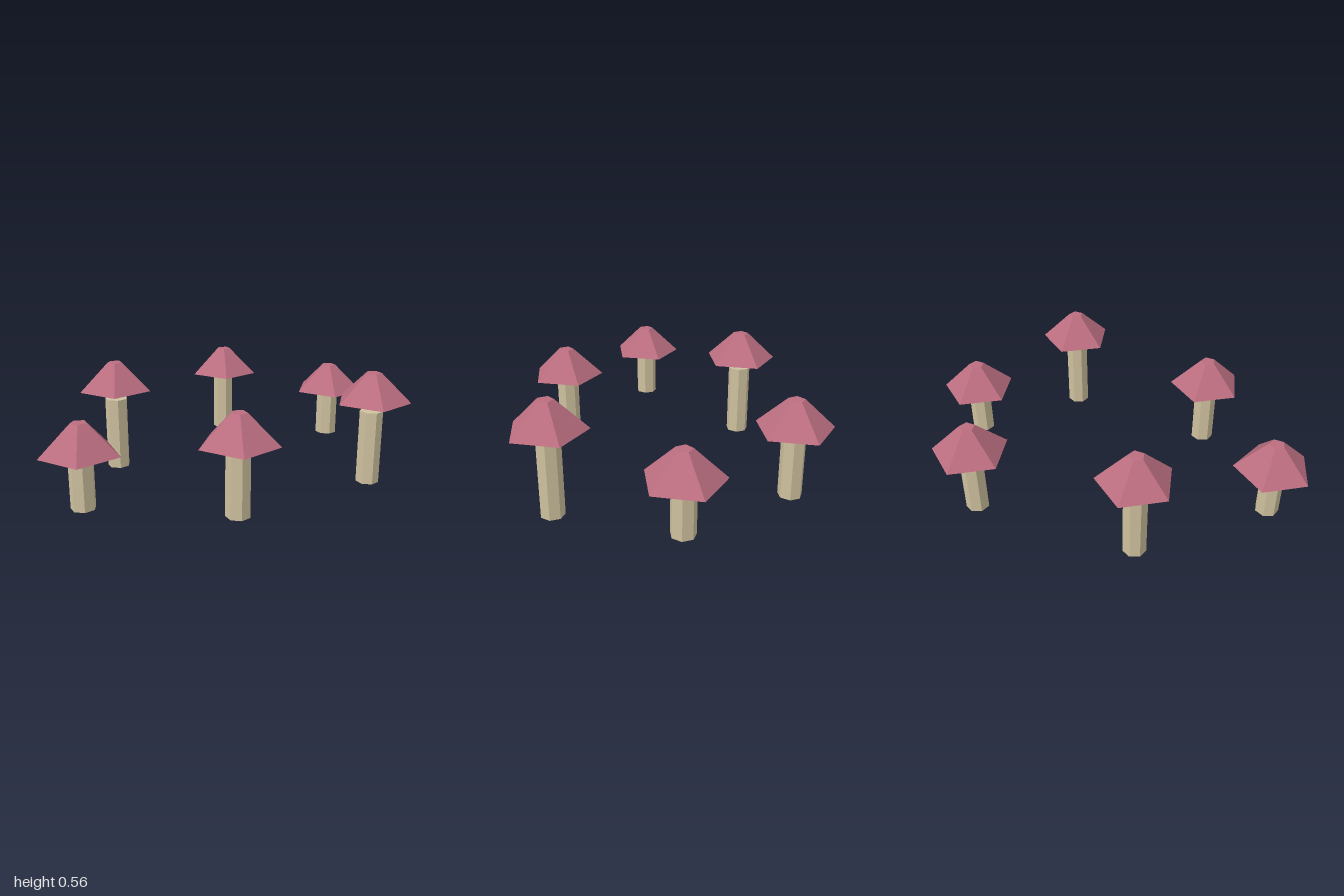
import * as THREE from 'three';

const MID_Y = 0.186; // all stems share this mid height
// x, z, stem height, underside of cap
const RING = [
  [0.82, 0.015, 0.257, 0.314],
  [0.502, 0.567, 0.372, 0.42],
  [-0.318, 0.488, 0.313, 0.367],
  [-0.82, 0.015, 0.257, 0.314],
  [-0.318, -0.455, 0.372, 0.42],
  [0.502, -0.533, 0.313, 0.367],
];
const CAP_HEIGHT = 0.144;

export function createModel() {
  const stemMaterial = new THREE.MeshStandardMaterial({ color: 0xcfc19f, flatShading: true });
  const capMaterial = new THREE.MeshStandardMaterial({ color: 0xbb6e80, flatShading: true });

  const capGeometry = new THREE.CylinderGeometry(0.039, 0.188, CAP_HEIGHT, 5);

  const model = new THREE.Group();
  model.name = 'mushroomRing';

  RING.forEach(([x, z, stemHeight, capBottom], i) => {
    const mushroom = new THREE.Group();
    mushroom.name = `mushroom${i + 1}`;
    mushroom.position.set(x, 0, z);
    mushroom.rotation.y = Math.PI; // a corner of each prism points to the back

    // seven-sided stem
    const stem = new THREE.Mesh(new THREE.CylinderGeometry(0.058, 0.058, stemHeight, 7), stemMaterial);
    stem.name = 'stem';
    stem.position.y = MID_Y;

    // five-sided cap, hovering slightly above the taller stems
    const cap = new THREE.Mesh(capGeometry, capMaterial);
    cap.name = 'cap';
    cap.position.y = capBottom + CAP_HEIGHT / 2;

    mushroom.add(stem, cap);
    model.add(mushroom);
  });

  return model;
}
